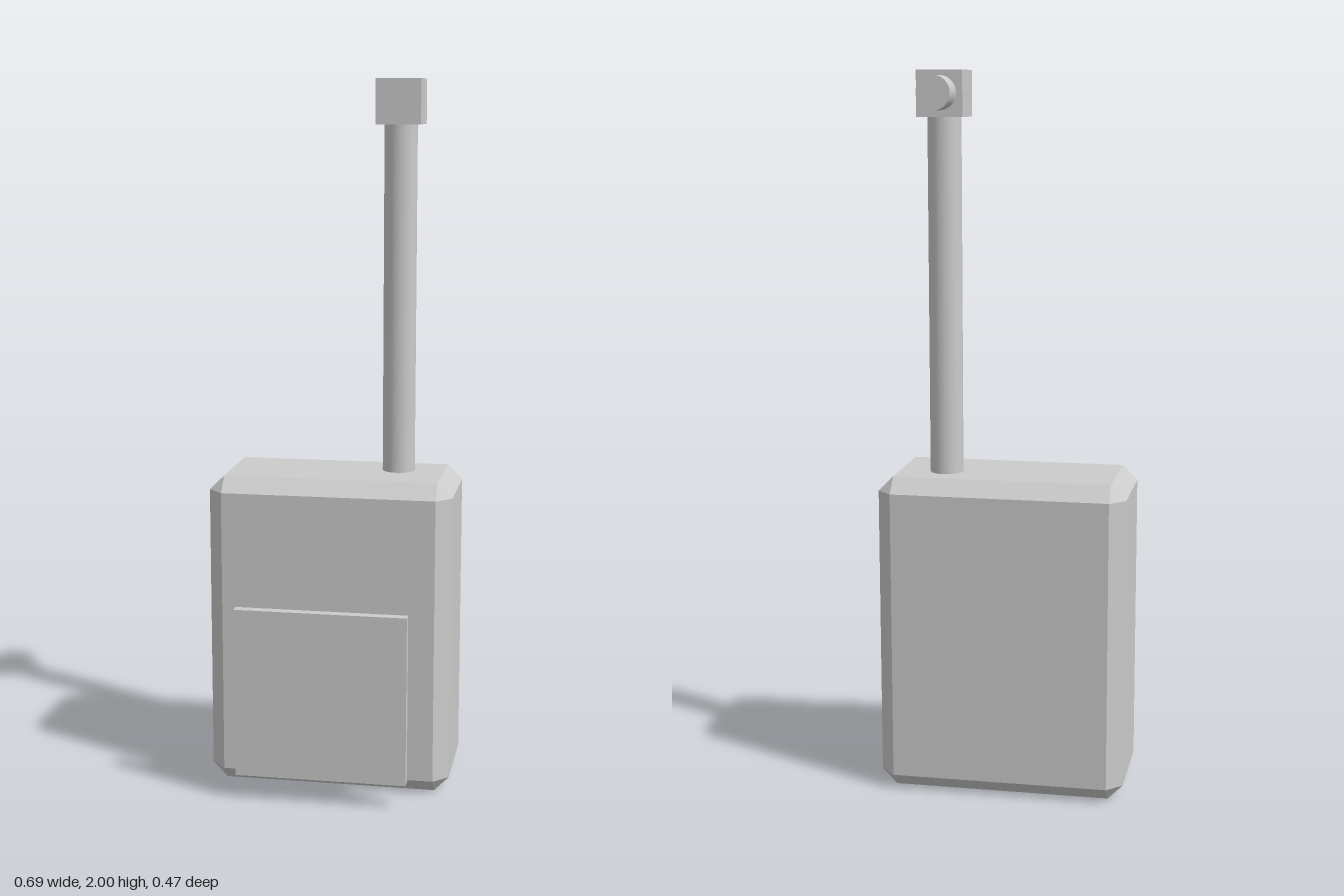
import * as THREE from 'three';
import { ConvexGeometry } from 'three/addons/geometries/ConvexGeometry.js';

// Box with every edge and corner cut by the bevel b
function chamferedBox(w, h, d, b) {
  const points = [];
  for (const sx of [-1, 1]) for (const sy of [-1, 1]) for (const sz of [-1, 1]) {
    const x = w / 2, y = h / 2, z = d / 2;
    points.push(
      new THREE.Vector3(sx * x, sy * (y - b), sz * (z - b)),
      new THREE.Vector3(sx * (x - b), sy * y, sz * (z - b)),
      new THREE.Vector3(sx * (x - b), sy * (y - b), sz * z)
    );
  }
  return new ConvexGeometry(points);
}

export function createModel() {
  const group = new THREE.Group();
  const grey = new THREE.MeshStandardMaterial({ color: 0xcccccc });
  grey.name = 'light grey';

  const add = (name, geometry, x, y, z) => {
    const mesh = new THREE.Mesh(geometry, grey);
    mesh.name = name;
    mesh.position.set(x, y, z);
    group.add(mesh);
  };
  // Cylinder along z between two depths
  const addDisc = (name, r, x, y, z0, z1) =>
    add(name, new THREE.CylinderGeometry(r, r, z1 - z0, 48).rotateX(Math.PI / 2), x, y, (z0 + z1) / 2);

  // Bevelled housing
  add('body', chamferedBox(0.69, 0.9, 0.346, 0.042), 0, 0.45, -0.061);

  // Mast with a square head and a rear connector
  const mastX = 0.172, mastZ = -0.095;
  add('mast', new THREE.CylinderGeometry(0.046, 0.046, 0.98, 48), mastX, 1.39, mastZ);
  add('mastHead', new THREE.BoxGeometry(0.126, 0.124, 0.126), mastX, 1.938, mastZ);
  addDisc('headConnector', 0.046, mastX, 1.94, -0.234, -0.158);

  // Stepped mount and front plate
  addDisc('mountBase', 0.138, 0, 0.243, 0.112, 0.181);
  addDisc('mountCollar', 0.103, 0, 0.243, 0.181, 0.2);
  add('frontPlate', new THREE.BoxGeometry(0.484, 0.484, 0.028), 0, 0.314, 0.217);

  return group;
}
